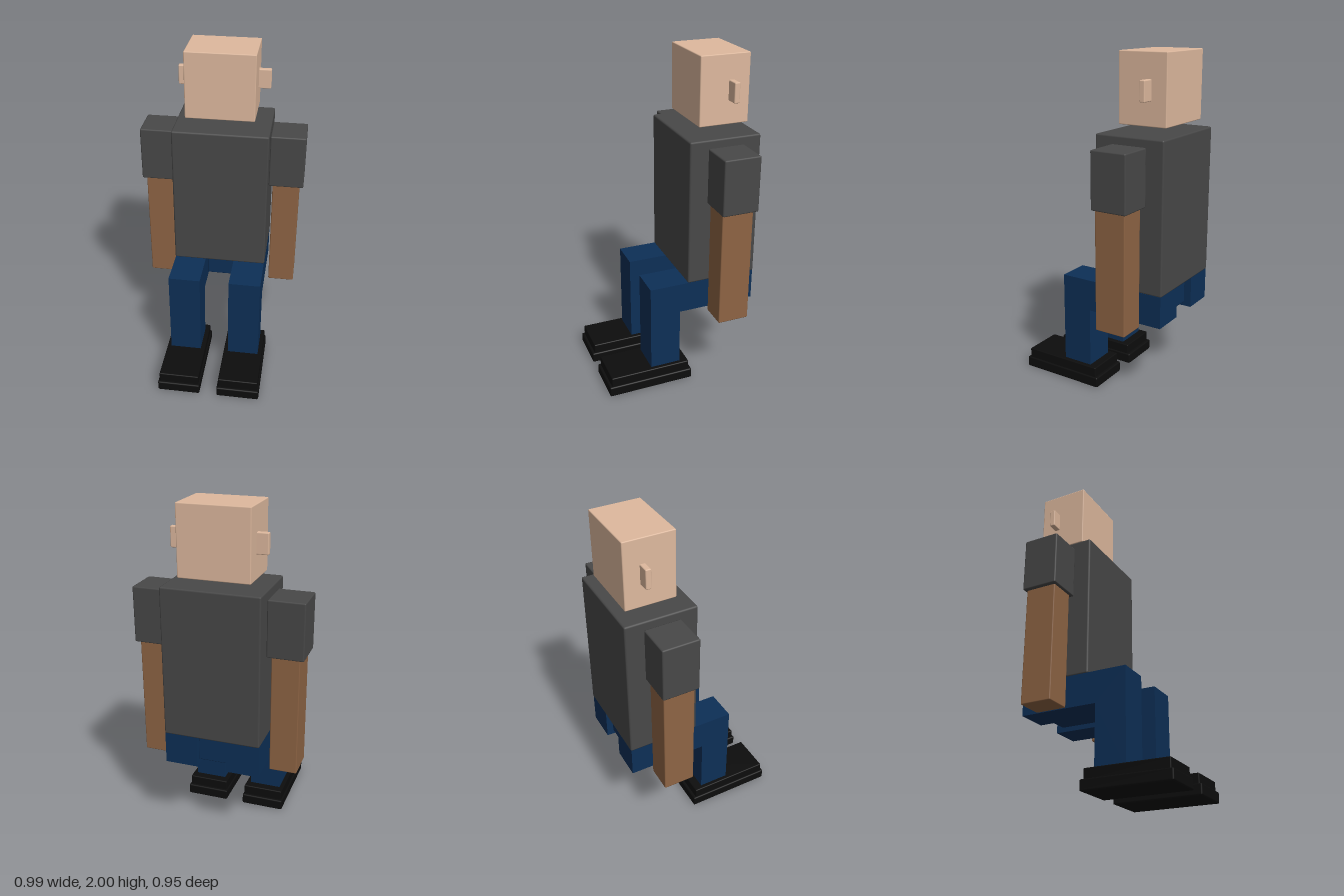
import * as THREE from 'three';
import { RoundedBoxGeometry } from 'three/addons/geometries/RoundedBoxGeometry.js';

const material = (name, color) => {
  const m = new THREE.MeshStandardMaterial({ color });
  m.name = name;
  return m;
};

export function createModel() {
  const model = new THREE.Group();
  model.name = 'blockFigure';
  const faceSkin = material('light skin', 0xdeb99e);
  const armSkin = material('tan skin', 0x8e6444);
  const shirt = material('grey shirt', 0x484848);
  const denim = material('blue denim', 0x0d2f56);
  const shoe = material('black shoe', 0x0d0d0d);

  // Softly bevelled box given by its extents on each axis
  const block = (name, mat, [x0, x1], [y0, y1], [z0, z1], bevel = 0.006) => {
    const geometry = new RoundedBoxGeometry(x1 - x0, y1 - y0, z1 - z0, 1, bevel);
    const mesh = new THREE.Mesh(geometry, mat);
    mesh.name = name;
    mesh.position.set((x0 + x1) / 2, (y0 + y1) / 2, (z0 + z1) / 2);
    model.add(mesh);
    return mesh;
  };

  // Head sits slightly off centre, with a gap above the torso
  block('head', faceSkin, [-0.22, 0.192], [1.6, 2], [-0.436, -0.134]);
  block('rightEar', faceSkin, [-0.285, -0.21], [1.738, 1.855], [-0.342, -0.308]);
  block('leftEar', faceSkin, [0.18, 0.265], [1.738, 1.855], [-0.342, -0.308]);

  // Torso and hips
  block('torso', shirt, [-0.287, 0.285], [0.67, 1.553], [-0.475, -0.04], 0.01);
  block('hips', denim, [-0.085, 0.092], [0.51, 0.68], [-0.43, -0.12]);

  // Arms
  block('leftSleeve', shirt, [0.284, 0.495], [1.176, 1.506], [-0.37, -0.15], 0.008);
  block('rightSleeve', shirt, [-0.498, -0.287], [1.176, 1.506], [-0.365, -0.143], 0.008);
  block('leftArm', armSkin, [0.308, 0.47], [0.472, 1.19], [-0.35, -0.16]);
  block('rightArm', armSkin, [-0.474, -0.312], [0.472, 1.19], [-0.35, -0.16]);

  // Bent leg: thigh and shin share one outline, extruded across the leg width
  const width = 0.194;
  const outline = new THREE.Shape([
    [-0.47, 0.672], [-0.47, 0.482], [0.01, 0.482], [0.01, 0.1], [0.198, 0.1], [0.198, 0.672],
  ].map(([z, y]) => new THREE.Vector2(z, y)));
  const legGeometry = new THREE.ExtrudeGeometry(outline, { depth: width, bevelEnabled: false });
  legGeometry.translate(0, 0, -width / 2).rotateY(-Math.PI / 2);

  for (const [side, s] of [['left', 1], ['right', -1]]) {
    const leg = new THREE.Mesh(legGeometry, denim);
    leg.name = side + 'Leg';
    leg.position.x = s * 0.186;
    model.add(leg);

    // Shoe upper on a wider sole
    const span = (inner, outer) => (s > 0 ? [inner, outer] : [-outer, -inner]);
    block(side + 'Shoe', shoe, span(0.062, 0.308), [0.05, 0.123], [-0.042, 0.46]);
    block(side + 'Sole', shoe, span(0.054, 0.317), [0, 0.064], [-0.06, 0.476], 0.008);
  }
  return model;
}
